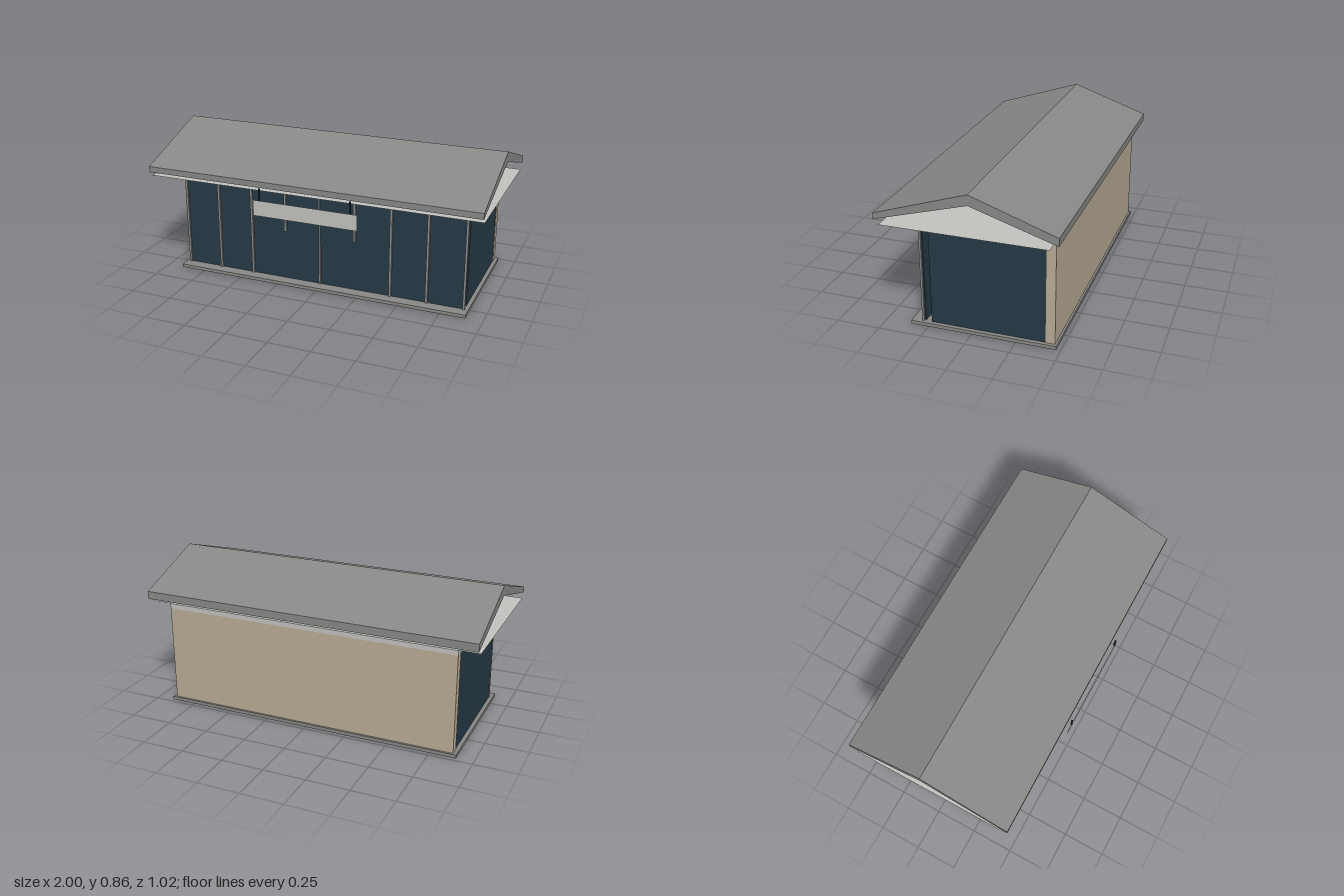
import * as THREE from 'three';

export function createModel() {
  const group = new THREE.Group();
  const mat = (name, color, side = THREE.FrontSide) => {
    const m = new THREE.MeshStandardMaterial({ color, side });
    m.name = name;
    return m;
  };
  const grey = mat('concrete grey', 0x888886);
  const light = mat('light panel', 0xc2c2be, THREE.DoubleSide);
  const glass = mat('dark glass', 0x263a46);
  const beige = mat('beige plaster', 0xb9ac94);
  const dark = mat('dark metal', 0x18242c);

  const add = (name, geometry, material) => {
    const mesh = new THREE.Mesh(geometry, material);
    mesh.name = name;
    group.add(mesh);
    return mesh;
  };
  // box given by its limits on each axis
  const box = (name, material, [x0, x1], [y0, y1], [z0, z1]) =>
    add(name, new THREE.BoxGeometry(x1 - x0, y1 - y0, z1 - z0), material)
      .position.set((x0 + x1) / 2, (y0 + y1) / 2, (z0 + z1) / 2);

  // floor slab, back wall and frieze
  box('floorSlab', grey, [-0.9, 0.9], [0, 0.02], [-0.475, 0.352]);
  box('backWall', beige, [-0.88, 0.88], [0.02, 0.597], [-0.463, -0.411]);
  box('frieze', light, [-0.88, 0.88], [0.597, 0.626], [-0.463, 0.288]);

  // glazing; the left side stops short of the front corner
  box('frontGlass', glass, [-0.87, 0.87], [0.02, 0.597], [0.276, 0.284]);
  box('leftGlass', glass, [0.865, 0.877], [0.02, 0.597], [-0.411, 0.24]);
  box('rightGlass', glass, [-0.877, -0.865], [0.02, 0.597], [-0.411, 0.284]);

  // front posts
  for (const x of [-0.874, -0.655, -0.437, 0, 0.437, 0.655, 0.874]) {
    const w = x === 0 ? 0.005 : 0.007;
    box('frontPost', grey, [x - w, x + w], [0.02, 0.597], [0.283, 0.295]);
  }
  // short door bars and sign hangers
  for (const s of [-1, 1]) {
    const b = s * 0.217, h = s * 0.273;
    box('doorBar', grey, [b - 0.007, b + 0.007], [0.325, 0.597], [0.283, 0.295]);
    box('signHanger', dark, [h - 0.004, h + 0.004], [0.583, 0.657], [0.502, 0.51]);
  }

  // hanging blank board
  add('hangingBoard', new THREE.PlaneGeometry(0.626, 0.093), light).position.set(0, 0.537, 0.506);

  // thin ceiling sheet
  const ceiling = add('ceilingSheet', new THREE.PlaneGeometry(2, 0.925), light);
  ceiling.rotation.x = -Math.PI / 2;
  ceiling.position.set(0, 0.627, -0.0005);

  // folded gable roof, profile in (-z, y) extruded along x
  const profile = [[-0.489, 0.655], [0.038, 0.804], [0.511, 0.654], [0.511, 0.7], [0.038, 0.864], [-0.489, 0.69]];
  const shape = new THREE.Shape(profile.map(([a, y]) => new THREE.Vector2(a, y)));
  const roof = new THREE.ExtrudeGeometry(shape, { depth: 2, bevelEnabled: false });
  roof.translate(0, 0, -1);
  roof.rotateY(Math.PI / 2);
  add('roof', roof, grey);

  return group;
}
